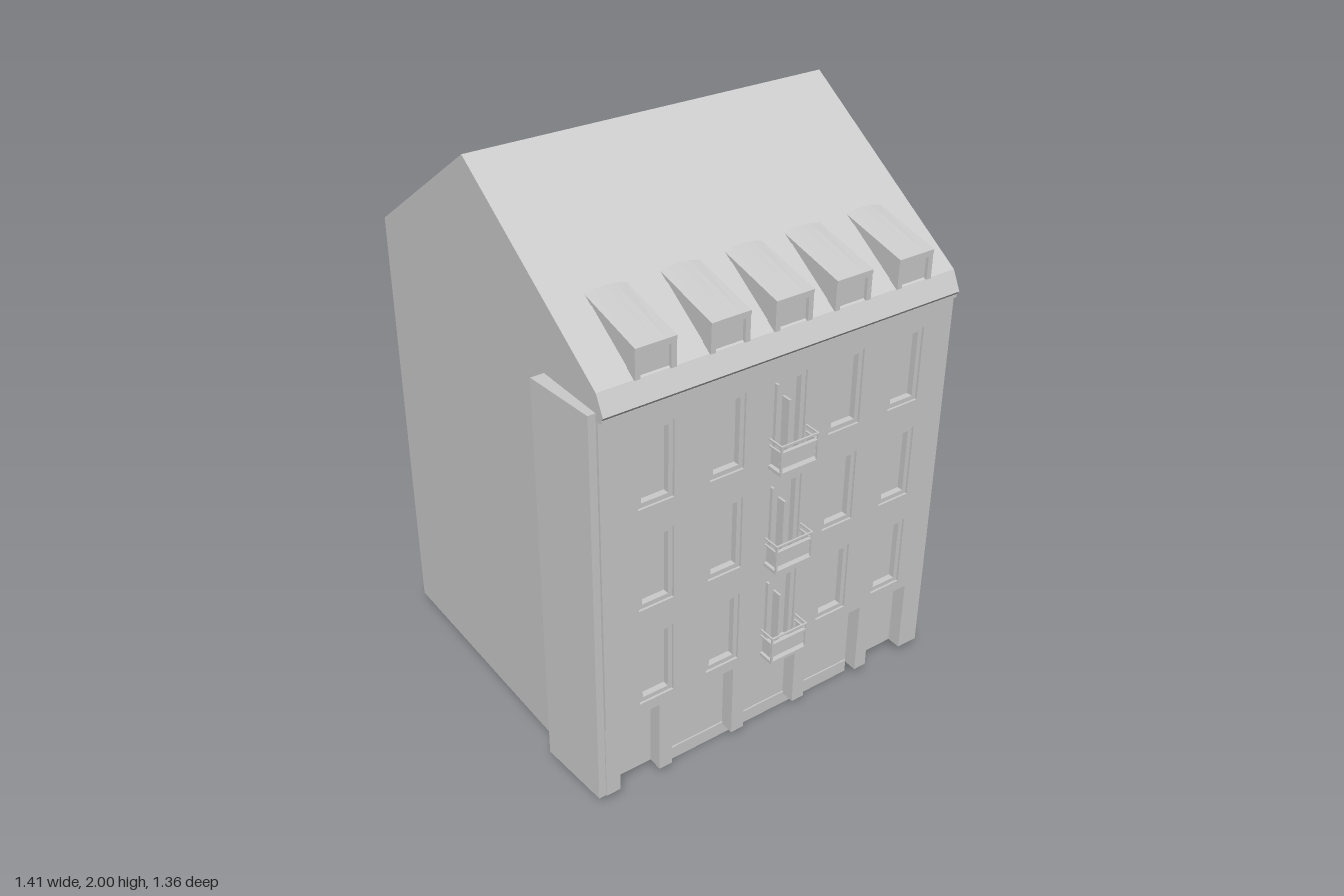
import * as THREE from 'three';

const mat = new THREE.MeshStandardMaterial({ color: 0xcccccc, flatShading: true });
const HALF = 0.668;   // half width of the house
const FRONT = 0.617;  // plane of the facade
const columns = [-0.475, -0.217, 0.015, 0.243, 0.492];
const floors = [0.365, 0.735, 1.105];

function add(parent, name, geometry) {
  const mesh = new THREE.Mesh(geometry, mat);
  mesh.name = name;
  parent.add(mesh);
  return mesh;
}

// box given by its limits on each axis
function box(parent, name, x0, x1, y0, y1, z0, z1) {
  const g = new THREE.BoxGeometry(x1 - x0, y1 - y0, z1 - z0);
  g.translate((x0 + x1) / 2, (y0 + y1) / 2, (z0 + z1) / 2);
  return add(parent, name, g);
}

// side profile of [z, y] points swept across x
function sweepX(points, x0, x1) {
  const shape = new THREE.Shape(points.map(([z, y]) => new THREE.Vector2(z, y)));
  const g = new THREE.ExtrudeGeometry(shape, { depth: x1 - x0, bevelEnabled: false });
  g.rotateY(-Math.PI / 2);
  g.translate(x1, 0, 0);
  return g;
}

// plan outline of [x, z] points raised from y0 to y1
function raise(points, y0, y1) {
  const shape = new THREE.Shape(points.map(([x, z]) => new THREE.Vector2(x, -z)));
  const g = new THREE.ExtrudeGeometry(shape, { depth: y1 - y0, bevelEnabled: false });
  g.rotateX(-Math.PI / 2);
  g.translate(0, y0, 0);
  return g;
}

const rectPoints = (x0, x1, y0, y1) =>
  [[x0, y0], [x1, y0], [x1, y1], [x0, y1]].map((p) => new THREE.Vector2(...p));

// sash frame set inside an opening
function addSash(parent, x0, x1, y0, y1) {
  const w = 0.016;
  const shape = new THREE.Shape(rectPoints(x0, x1, y0, y1));
  shape.holes.push(new THREE.Path(rectPoints(x0 + w, x1 - w, y0 + w, y1 - w).reverse()));
  const g = new THREE.ExtrudeGeometry(shape, { depth: 0.022, bevelEnabled: false });
  g.translate(0, 0, 0.587);
  add(parent, 'windowSash', g);
}

function addBalcony(parent, y) {
  const b = new THREE.Group();
  b.name = 'balcony';
  const x0 = -0.06, x1 = 0.088, z1 = 0.678, t = 0.006;
  box(b, 'balconySlab', x0, x1, y, y + 0.012, FRONT, z1);
  box(b, 'balconyPanel', x0 + 0.008, x1 - 0.008, y + 0.025, y + 0.085, z1 - 0.012, z1 - 0.006);
  for (const h of [0.085, 0.108]) {
    box(b, 'frontRail', x0, x1, y + h - t, y + h, z1 - t, z1);
    for (const x of [x0, x1 - t]) box(b, 'sideRail', x, x + t, y + h - t, y + h, FRONT, z1);
  }
  for (const x of [x0, x1 - t]) {
    box(b, 'cornerPost', x, x + t, y, y + 0.108, z1 - t, z1);
    box(b, 'sidePanel', x + 0.001, x + t - 0.001, y + 0.025, y + 0.085, FRONT + 0.01, z1 - 0.008);
  }
  // door leaves behind the railing
  box(b, 'doorStile', -0.04, -0.032, y, y + 0.29, 0.58, FRONT + 0.004);
  box(b, 'doorMullion', 0.01, 0.018, y, y + 0.22, 0.58, FRONT + 0.004);
  parent.add(b);
}

function addDormer(parent, x) {
  const d = new THREE.Group();
  d.name = 'dormer';
  const w = 0.07, f = 0.018;
  // cheeks and body, front face set slightly back behind the frame
  add(d, 'dormerBody', sweepX([[0.606, 1.54], [0.606, 1.635], [0.385, 1.69], [0.38, 1.66]], x - w + 0.002, x + w - 0.002));
  for (const s of [-1, 1]) {
    const cx = x + s * (w - f / 2);
    box(d, 'dormerJamb', cx - f / 2, cx + f / 2, 1.54, 1.635, 0.58, 0.618);
  }
  box(d, 'dormerHead', x - w, x + w, 1.618, 1.64, 0.58, 0.618);
  // barely arched lid, falling toward the front
  const lid = new THREE.BoxGeometry(2 * w, 0.012, 0.26, 4, 1, 1);
  const p = lid.attributes.position;
  for (let i = 0; i < p.count; i++) {
    const u = p.getX(i) / w, back = 0.5 - p.getZ(i) / 0.26;
    const arch = 0.005 * (1 - u * u);
    p.setXYZ(i, x + p.getX(i), p.getY(i) + 1.634 + back * (0.064 + arch), 0.62 - back * (0.26 + arch));
  }
  lid.computeVertexNormals();
  add(d, 'dormerRoof', lid);
  parent.add(d);
}

export function createModel() {
  const model = new THREE.Group();
  model.name = 'townHouse';
  const house = new THREE.Group();
  house.name = 'house';
  house.rotation.y = -0.027; // the plot sits slightly askew
  house.position.x = 0.021;
  model.add(house);

  // main block with gable roof; its foot rises midway along one side only
  const block = sweepX([
    [0.33, 0.04], [0.33, 0.325], [0.587, 0.325], [0.587, 1.45], [0.625, 1.45], [0.645, 1.475],
    [0.612, 1.54], [-0.076, 2.0], [-0.663, 1.595], [-0.663, 0.04], [-0.076, 0.09],
  ], -HALF, HALF);
  const p = block.attributes.position;
  for (let i = 0; i < p.count; i++) {
    if (Math.abs(p.getY(i) - 0.09) < 0.01 && p.getX(i) < 0) p.setY(i, 0.04);
  }
  block.computeVertexNormals();
  add(house, 'mainBlock', block);

  // facade with window and balcony door openings
  const wall = new THREE.Shape(rectPoints(-HALF, HALF, 0.325, 1.45));
  for (const y of floors) {
    columns.forEach((x, i) => {
      const sill = i === 2 ? Math.max(y - 0.05, 0.335) : y;
      const opening = [x - 0.064, x + 0.064, sill, y + 0.267];
      wall.holes.push(new THREE.Path(rectPoints(...opening).reverse()));
      addSash(house, ...opening);
    });
  }
  const facade = new THREE.ExtrudeGeometry(wall, { depth: 0.03, bevelEnabled: false });
  facade.translate(0, 0, 0.587);
  add(house, 'facade', facade);

  // eaves moulding
  box(house, 'eavesMoulding', -HALF, HALF, 1.452, 1.462, 0.6, 0.636);

  floors.forEach((y) => addBalcony(house, y - 0.035));
  columns.forEach((x) => addDormer(house, x));

  // ground floor: shop front slightly set back between pillars
  box(house, 'shopFront', -0.62, 0.62, 0.04, 0.325, 0.545, 0.56);
  box(house, 'entranceStep', -0.42, 0.385, 0, 0.05, 0.515, 0.565);
  for (const x of [-0.436, -0.141, 0.124, 0.412]) {
    box(house, 'pillar', x - 0.025, x + 0.025, 0.04, 0.325, 0.53, 0.612);
  }
  box(house, 'endPillar', -HALF, -0.615, 0.04, 0.325, 0.33, 0.612);
  box(house, 'endPillar', 0.6, HALF, 0.04, 0.325, 0.33, 0.612);

  // shallow wedges on the party walls
  add(house, 'leftPartyStrip', raise([[0.66, 0.35], [0.66, 0.612], [0.682, 0.612], [0.68, 0.555]], 0.04, 1.475));
  add(house, 'rightPartyStrip', raise([[-0.714, 0.338], [-0.694, 0.608], [-0.66, 0.608], [-0.66, 0.338]], 0.04, 1.475));

  return model;
}
